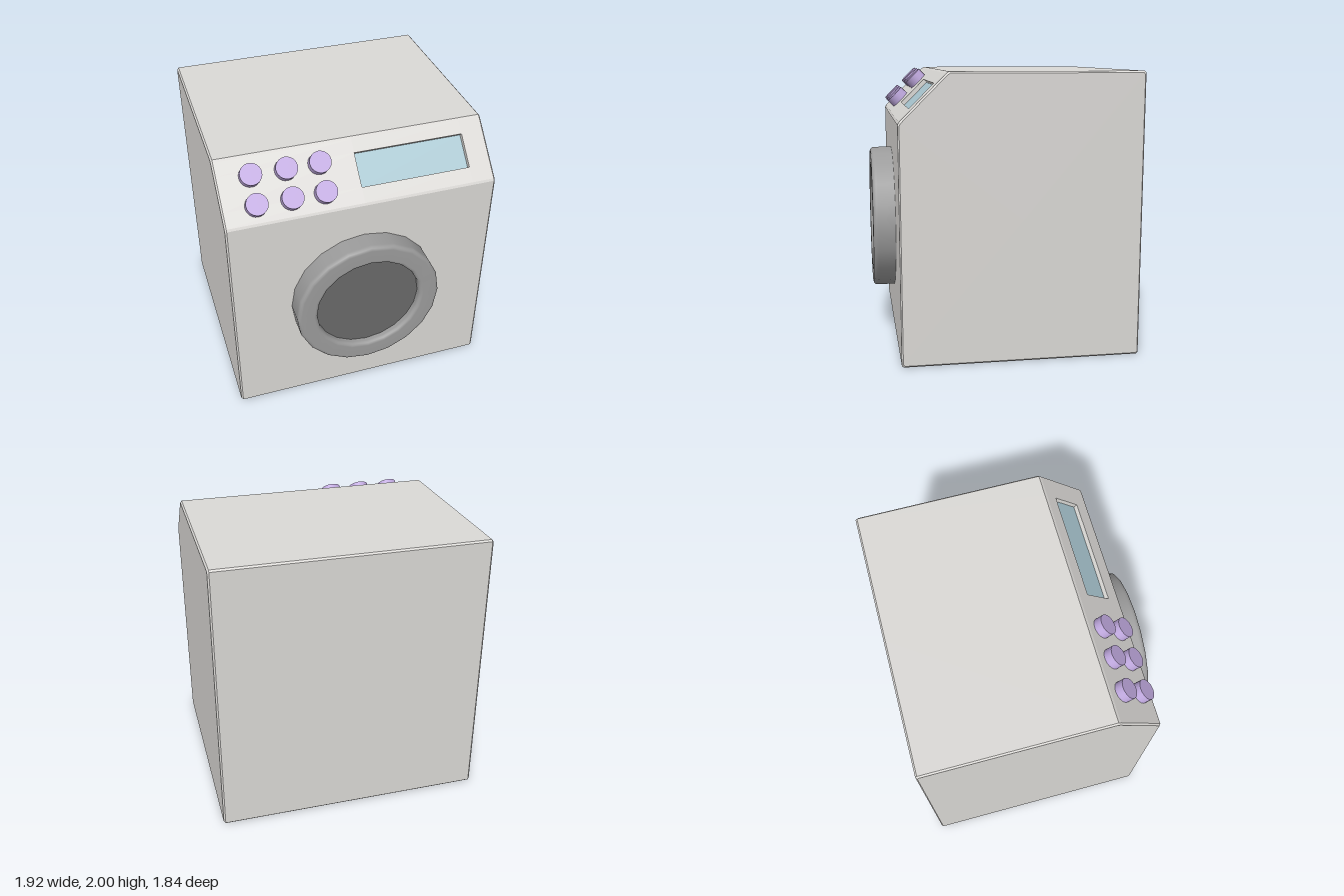
import * as THREE from 'three';

const mat = (name, color) => {
  const m = new THREE.MeshStandardMaterial({ color });
  m.name = name;
  return m;
};

// Cabinet: side profiles lofted across x, with a notch in the sloped panel for the display
function cabinetGeometry() {
  const b = 0.012;                       // edge bevel
  const profile = (notched, scale = 1) => {
    const d = notched ? 0.025 : 0;
    return [
      [0.76 - b, 0], [0.76, b],
      [0.76, 1.657], [0.752, 1.673],
      [0.675, 1.75], [0.675 - d, 1.75 - d], [0.505 - d, 1.92 - d], [0.505, 1.92],
      [0.437, 1.988], [0.42, 2],
      [-0.92 + b, 2], [-0.92, 2 - b],
      [-0.92, b], [-0.92 + b, 0],
    ].map(([z, y]) => [-0.08 + (z + 0.08) * scale, 1 + (y - 1) * scale]);
  };
  const sections = [
    [-0.96, false, 0.988], [-0.948, false], [0, false], [0, true],
    [0.79, true], [0.79, false], [0.948, false], [0.96, false, 0.988],
  ].map(([x, notched, s]) => profile(notched, s).map(([z, y]) => new THREE.Vector3(x, y, z)));

  const verts = [];
  const tri = (p, q, r) => {
    if (new THREE.Triangle(p, q, r).getArea() > 1e-8) {
      for (const v of [p, q, r]) verts.push(v.x, v.y, v.z);
    }
  };
  const n = sections[0].length;
  for (let i = 0; i < sections.length - 1; i++) {
    for (let j = 0; j < n; j++) {
      const k = (j + 1) % n, s = sections[i], t = sections[i + 1];
      tri(s[j], t[j], t[k]);
      tri(s[j], t[k], s[k]);
    }
  }
  // Side panels
  const first = sections[0], last = sections[sections.length - 1];
  for (let j = 0; j < n; j++) {
    const k = (j + 1) % n;
    tri(new THREE.Vector3(-0.96, 1, -0.08), first[j], first[k]);
    tri(new THREE.Vector3(0.96, 1, -0.08), last[k], last[j]);
  }
  const g = new THREE.BufferGeometry();
  g.setAttribute('position', new THREE.Float32BufferAttribute(verts, 3));
  g.computeVertexNormals();
  return g;
}

// Door ring: rounded rectangular section, turned with 20 sides
function doorRingGeometry() {
  const outer = 0.532, inner = 0.385, depth = 0.16, r = 0.028, steps = 4;
  const pts = [new THREE.Vector2(outer, 0), new THREE.Vector2(outer, depth - r - 0.01)];
  for (const [cx, start] of [[outer - r, 0], [inner + r, Math.PI / 2]]) {
    for (let i = 0; i <= steps; i++) {
      const a = start + (i / steps) * Math.PI / 2;
      pts.push(new THREE.Vector2(cx + r * Math.cos(a), depth - r + r * Math.sin(a)));
    }
  }
  pts.push(new THREE.Vector2(inner, 0.06));
  return new THREE.LatheGeometry(pts, 20).rotateX(Math.PI / 2);
}

export function createModel() {
  const group = new THREE.Group();
  group.name = 'washingMachine';
  const cabinetMat = mat('cabinet light grey', 0xdbd9d6);
  const ringMat = mat('door ring grey', 0x9c9c9c);
  const glassMat = mat('door glass dark grey', 0x6a6a6a);
  const buttonMat = mat('button lilac', 0xbfa8de);
  const displayMat = mat('display pale blue', 0xabc8d2);

  const add = (name, geometry, material, parent = group) => {
    const mesh = new THREE.Mesh(geometry, material);
    mesh.name = name;
    parent.add(mesh);
    return mesh;
  };

  add('cabinet', cabinetGeometry(), cabinetMat);

  // Round door
  const door = new THREE.Group();
  door.name = 'door';
  door.position.set(-0.005, 0.88, 0.76);
  group.add(door);
  add('doorRing', doorRingGeometry(), ringMat, door);
  add('doorGlass', new THREE.CircleGeometry(0.39, 20), glassMat, door).position.z = 0.105;

  // Recessed display, lying on the notch floor
  const display = add('display', new THREE.PlaneGeometry(0.79, 0.24), displayMat);
  display.position.set(0.395, 1.8125, 0.5675);
  display.rotation.x = -Math.PI / 4;

  // Two rows of three buttons standing on the slope
  const buttonGeometry = new THREE.CylinderGeometry(0.075, 0.075, 0.08, 24);
  for (const x of [-0.728, -0.487, -0.257]) {
    for (const [y, z] of [[1.915, 0.544], [1.773, 0.686]]) {
      const button = add('button', buttonGeometry, buttonMat);
      button.position.set(x, y, z);
      button.rotation.x = Math.PI / 4;
    }
  }
  return group;
}
